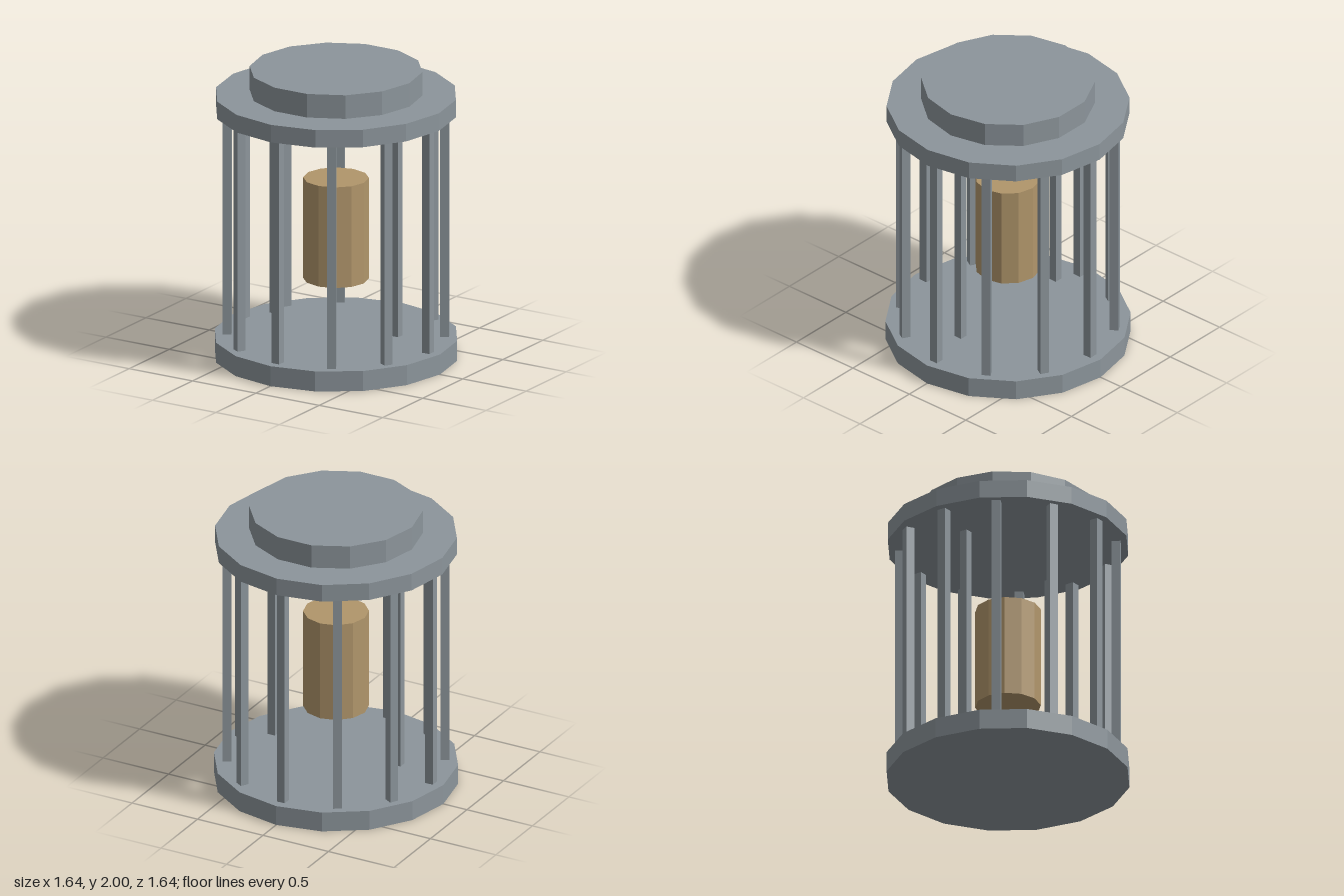
import * as THREE from 'three';

export function createModel() {
  const group = new THREE.Group();
  const greyMetal = new THREE.MeshStandardMaterial({ color: 0x8c959b, flatShading: true });
  greyMetal.name = 'greyMetal';
  const tanCore = new THREE.MeshStandardMaterial({ color: 0xb1966b, flatShading: true });
  tanCore.name = 'tanCore';

  // Faceted drum between two heights, with a corner on the x axis
  function drum(name, radius, bottom, top, sides, material) {
    const geometry = new THREE.CylinderGeometry(radius, radius, top - bottom, sides);
    geometry.rotateY(Math.PI / 2);
    const mesh = new THREE.Mesh(geometry, material);
    mesh.name = name;
    mesh.position.y = (bottom + top) / 2;
    group.add(mesh);
  }

  // Square upright post on a circle, turned to face outwards
  function post(name, width, radius, angle, bottom, top) {
    const mesh = new THREE.Mesh(new THREE.BoxGeometry(width, top - bottom, width), greyMetal);
    mesh.name = name;
    mesh.position.set(radius * Math.sin(angle), (bottom + top) / 2, radius * Math.cos(angle));
    mesh.rotation.y = angle;
    group.add(mesh);
  }

  drum('base', 0.82, 0, 0.14, 16, greyMetal);
  drum('topPlate', 0.812, 1.705, 1.828, 16, greyMetal);
  drum('cap', 0.58, 1.835, 2, 14, greyMetal);
  drum('core', 0.22, 0.535, 1.24, 12, tanCore);

  // Ring of cage bars
  for (let i = 0; i < 12; i++) post('cageBar', 0.06, 0.726, (i * Math.PI) / 6, 0.13, 1.715);

  // Two free inner rods beside the core
  for (const side of [-1, 1]) post('innerRod', 0.056, 0.48, (side * Math.PI) / 2, 0.215, 1.64);

  return group;
}
